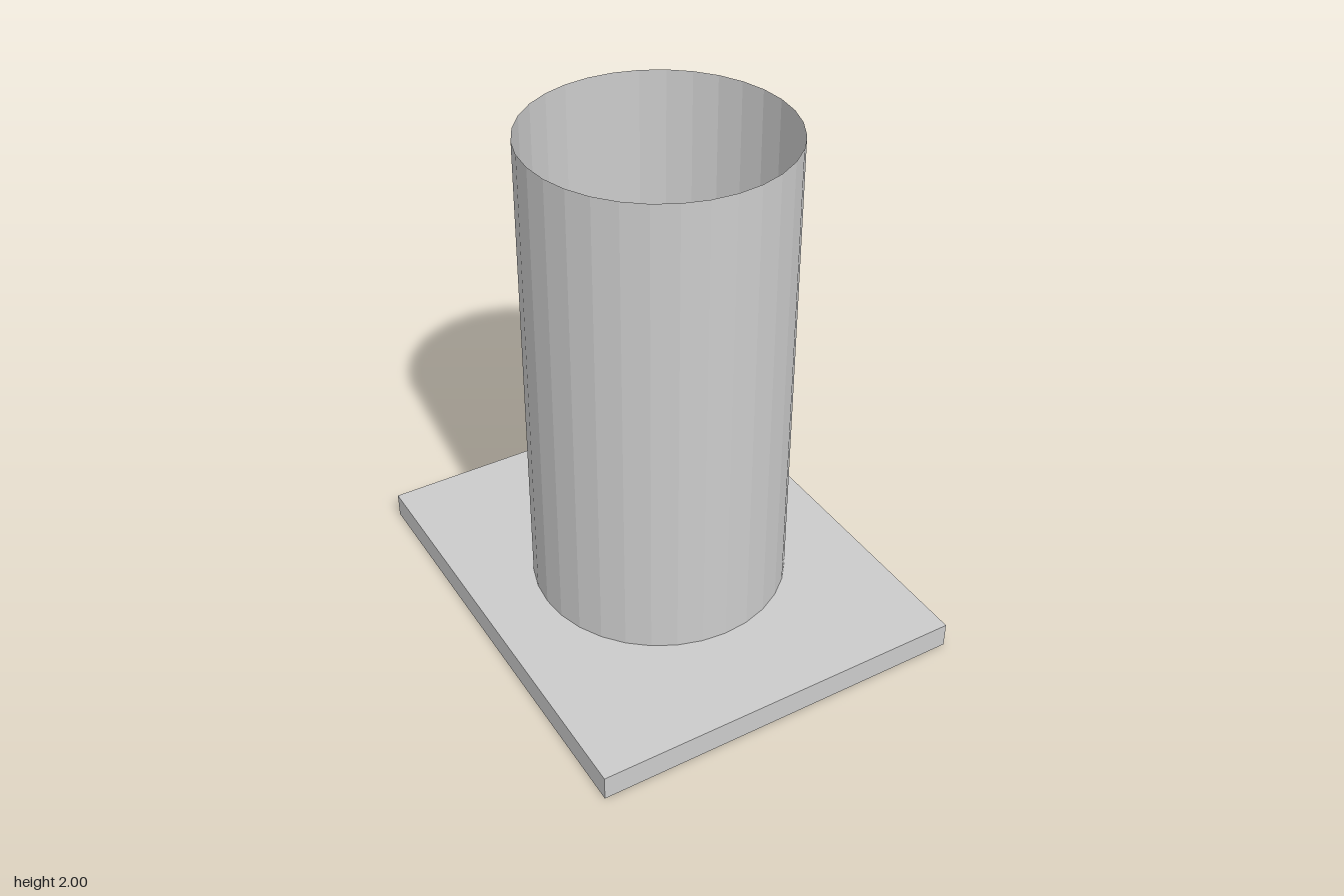
import * as THREE from 'three';

const SIDES = 32;
const BASE_HEIGHT = 0.1;
const BOTTOM_RADIUS = 0.505;
const TOP_RADIUS = 0.5;

export function createModel() {
  const group = new THREE.Group();
  const material = new THREE.MeshStandardMaterial({
    color: 0xcccccc,
    flatShading: true,
    side: THREE.DoubleSide,
  });

  // Rectangular base plate with a round opening under the tube
  const plate = new THREE.Shape([
    new THREE.Vector2(-0.75, -0.9),
    new THREE.Vector2(0.75, -0.9),
    new THREE.Vector2(0.75, 0.9),
    new THREE.Vector2(-0.75, 0.9),
  ]);
  const rim = [];
  for (let i = 0; i < SIDES; i++) {
    const a = -(i / SIDES) * Math.PI * 2;
    rim.push(new THREE.Vector2(Math.cos(a) * BOTTOM_RADIUS, Math.sin(a) * BOTTOM_RADIUS));
  }
  plate.holes.push(new THREE.Path(rim));
  const plateGeometry = new THREE.ExtrudeGeometry(plate, { depth: BASE_HEIGHT, bevelEnabled: false });
  plateGeometry.rotateX(-Math.PI / 2);
  const basePlate = new THREE.Mesh(plateGeometry, material);
  basePlate.name = 'basePlate';
  group.add(basePlate);

  // Thin open tube, tapering slightly towards the top
  const height = 2 - BASE_HEIGHT;
  const tube = new THREE.Mesh(
    new THREE.CylinderGeometry(TOP_RADIUS, BOTTOM_RADIUS, height, SIDES, 1, true),
    material
  );
  tube.position.y = BASE_HEIGHT + height / 2;
  tube.name = 'tube';
  group.add(tube);

  return group;
}
